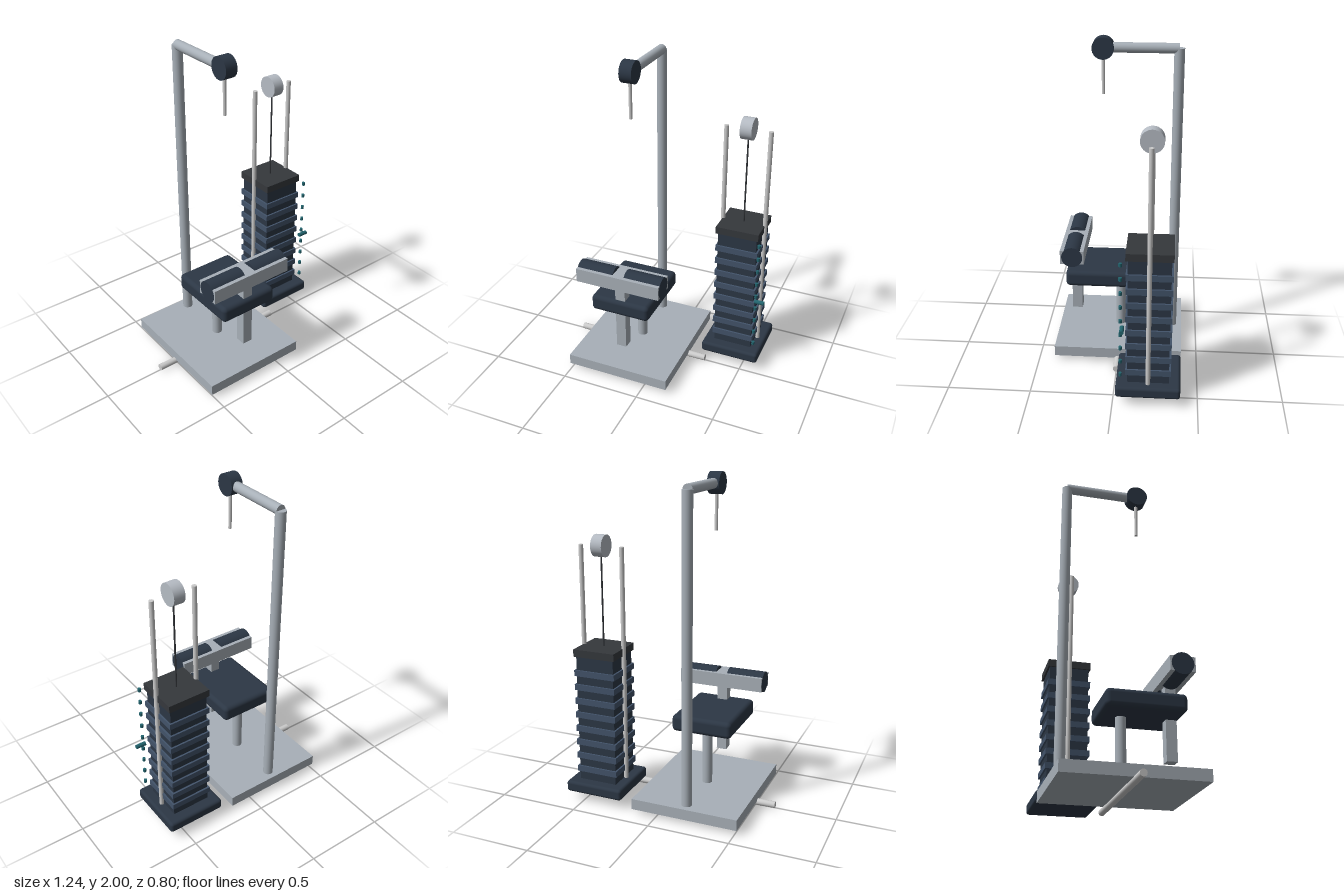
import * as THREE from 'three';
import { RoundedBoxGeometry } from 'three/addons/geometries/RoundedBoxGeometry.js';

const mat = (color) => new THREE.MeshStandardMaterial({ color });

export function createModel() {
  const model = new THREE.Group();
  const steel = mat(0xa8b0b8), chrome = mat(0xcccccc), navy = mat(0x2c3745);
  const slate = mat(0x42536a), charcoal = mat(0x35383c), teal = mat(0x23656f);

  const add = (parent, name, geometry, material, x, y, z) => {
    const mesh = new THREE.Mesh(geometry, material);
    mesh.name = name;
    mesh.position.set(x, y, z);
    parent.add(mesh);
    return mesh;
  };
  const box = (w, h, d) => new THREE.BoxGeometry(w, h, d);
  const rounded = (w, h, d, r) => new RoundedBoxGeometry(w, h, d, 4, r);
  // Cylinder along the chosen axis
  const rod = (r, length, axis = 'y', sides = 24) => {
    const g = new THREE.CylinderGeometry(r, r, length, sides);
    if (axis === 'x') g.rotateZ(Math.PI / 2);
    if (axis === 'z') g.rotateX(Math.PI / 2);
    return g;
  };
  const group = (name) => {
    const g = new THREE.Group();
    g.name = name;
    model.add(g);
    return g;
  };

  // Frame: floor bar, plate, tall mast and overhead arm
  const cx = -0.18;
  const frame = group('frame');
  add(frame, 'floorBar', rod(0.02, 0.89, 'x'), chrome, cx, 0.022, 0);
  add(frame, 'basePlate', box(0.666, 0.067, 0.8), steel, cx, 0.063, 0);
  add(frame, 'mast', rod(0.031, 1.86), steel, cx, 1.007, -0.337);
  add(frame, 'overheadArm', rod(0.03, 0.443, 'z'), steel, cx, 1.936, -0.115);
  add(frame, 'armPulley', rod(0.065, 0.075, 'x', 32), navy, cx, 1.935, 0.106);
  add(frame, 'hangingHandle', rod(0.01, 0.27), chrome, cx, 1.795, 0.106);

  // Seat with its post
  const seat = group('seat');
  add(seat, 'seatPost', rod(0.031, 0.4), steel, cx, 0.28, 0);
  add(seat, 'seatCushion', rounded(0.38, 0.104, 0.464, 0.027), navy, cx, 0.505, 0.105);

  // Thigh hold-down: upright, cross beam and two roller pads
  const holder = group('thighHolder');
  add(holder, 'holderPost', box(0.064, 0.45, 0.064), steel, cx, 0.438, 0.285);
  add(holder, 'holderBeam', box(0.54, 0.088, 0.146), steel, cx, 0.698, 0.285);
  for (const side of [-1, 1]) {
    add(holder, side < 0 ? 'rightRoller' : 'leftRoller', rod(0.065, 0.234, 'x', 32),
      navy, cx + side * 0.1535, 0.7, 0.285);
  }

  // Weight stack on its foot, between two guide rods
  const sx = 0.417, sz = -0.207;
  const stack = group('weightStack');
  add(stack, 'stackFoot', rounded(0.372, 0.07, 0.38, 0.018), navy, sx, 0.094, sz);
  add(stack, 'stackCore', box(0.244, 0.81, 0.244), navy, sx, 0.525, sz);
  add(stack, 'topPlate', box(0.268, 0.045, 0.268), charcoal, sx, 0.948, sz);
  for (let i = 0; i < 9; i++) {
    const y = 0.201 + i * 0.0888;
    if (i < 8) add(stack, 'weightPlate', box(0.266, 0.037, 0.266), slate, sx, y, sz);
    add(stack, 'plateMarker', rod(0.01, 0.02, 'y', 12), teal, 0.567, y, -0.046);
  }
  add(stack, 'selectorPin', rod(0.013, 0.062, 'x', 16), teal, 0.588, 0.511, -0.056);
  for (const side of [-1, 1]) {
    add(stack, 'guideRod', rod(0.014, 1.47), chrome, sx + side * 0.134, 0.845, sz);
  }
  add(stack, 'cable', rod(0.005, 0.62, 'y', 12), charcoal, sx, 1.27, sz);
  add(stack, 'stackPulley', rod(0.066, 0.07, 'x', 32), mat(0xb6bcc4), sx, 1.58, sz);

  return model;
}
